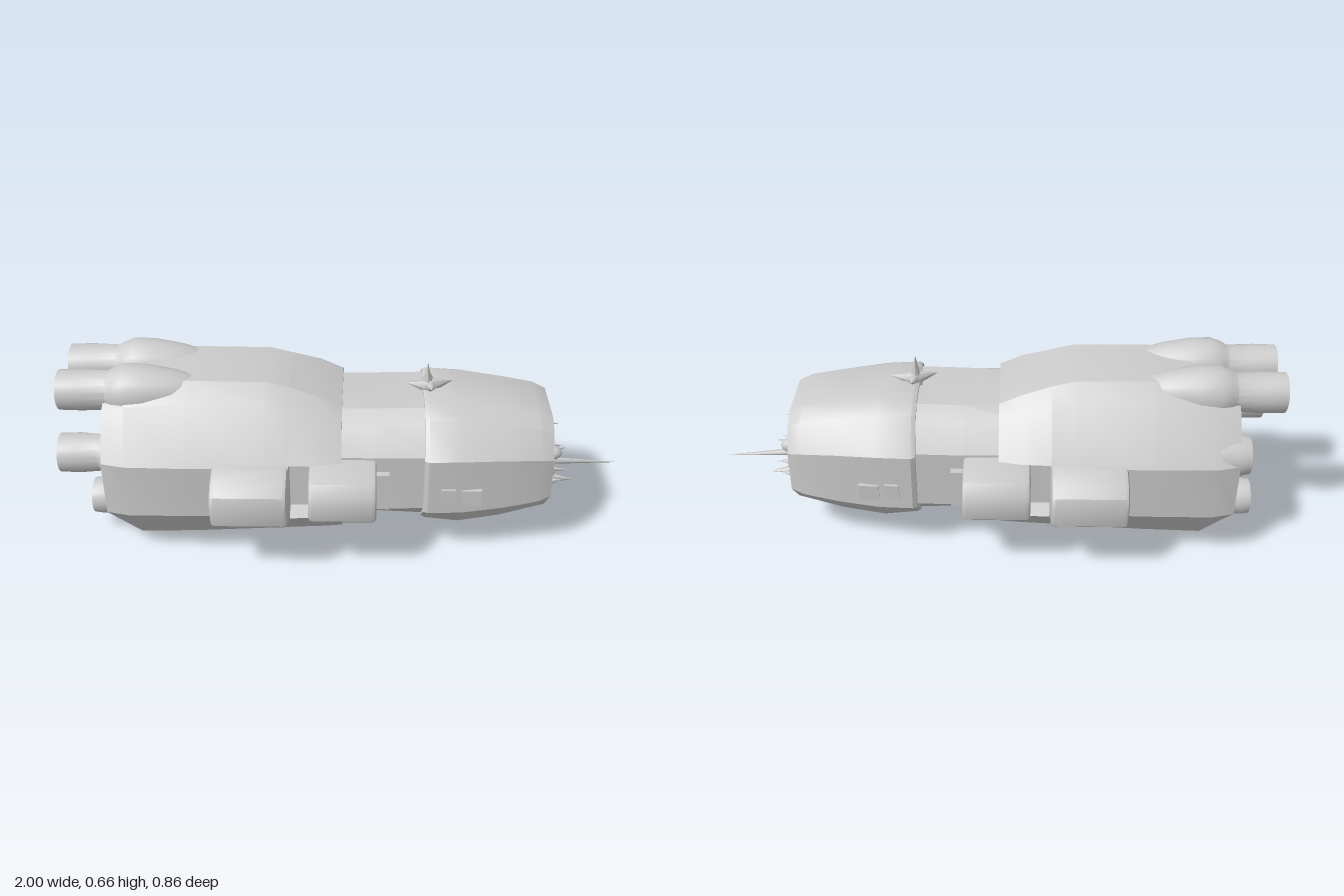
import * as THREE from 'three';
import { toCreasedNormals } from 'three/addons/utils/BufferGeometryUtils.js';

const grey = new THREE.MeshStandardMaterial({ color: 0xcccccc, side: THREE.DoubleSide });

function part(parent, name, geo, x = 0, y = 0, z = 0) {
  const m = new THREE.Mesh(geo, grey);
  m.name = name;
  m.position.set(x, y, z);
  parent.add(m);
  return m;
}

// Loft along x. Each section is [x, [z, y], [z, y] ...], the +z half listed from top to bottom.
function loft(sections, crease = 0.5) {
  const pos = [], idx = [];
  const n = (sections[0].length - 1) * 2;
  for (const [x, ...half] of sections) {
    const ring = [...half, ...half.map(([z, y]) => [-z, y]).reverse()];
    for (const [z, y] of ring) pos.push(x, y, z);
  }
  const last = sections.length - 1;
  for (let s = 0; s < last; s++) for (let i = 0; i < n; i++) {
    const a = s * n + i, b = s * n + (i + 1) % n;
    idx.push(a, b, b + n, a, b + n, a + n);
  }
  // end caps fan out from a centre point
  for (const s of [0, last]) {
    const c = pos.length / 3;
    pos.push(sections[s][0], 0.3, 0);
    for (let i = 0; i < n; i++) {
      const a = s * n + i, b = s * n + (i + 1) % n;
      idx.push(c, s ? a : b, s ? b : a);
    }
  }
  const g = new THREE.BufferGeometry();
  g.setAttribute('position', new THREE.Float32BufferAttribute(pos, 3));
  g.setIndex(idx);
  return toCreasedNormals(g, crease);
}

// The same section scaled about the hull axis and moved to another x
const inset = ([, ...half], x, k) => [x, ...half.map(([z, y]) => [z * k, 0.3 + (y - 0.3) * k])];

// Hollow nozzle along -x from profile points [radius, x]
function nozzle(points) {
  const g = new THREE.LatheGeometry(points.map(([r, x]) => new THREE.Vector2(r, -x)), 18);
  return toCreasedNormals(g.rotateZ(Math.PI / 2), 0.6);
}

// Tapering spike between two points
function spike(parent, name, from, to, r) {
  const a = new THREE.Vector3(...from), d = new THREE.Vector3(...to).sub(a);
  const g = new THREE.ConeGeometry(r, d.length(), 6).translate(0, d.length() / 2, 0);
  const m = part(parent, name, g, ...from);
  m.quaternion.setFromUnitVectors(new THREE.Vector3(0, 1, 0), d.normalize());
}

// Uneven lumps: push vertices out by a smooth wave of their position
function lumpy(g, amount) {
  const p = g.attributes.position, v = new THREE.Vector3();
  for (let i = 0; i < p.count; i++) {
    v.fromBufferAttribute(p, i);
    const w = Math.sin(v.y * 47 + 1) * Math.sin(v.z * 38 + 0.6) + 0.5 * Math.sin(v.y * 83 + v.z * 61);
    p.setX(i, v.x + w * amount);
  }
  g.computeVertexNormals();
  return g;
}

export function createModel() {
  const ship = new THREE.Group();
  ship.name = 'spaceship';

  // Rear hull with a sunken stern
  const stern = [-0.84, [0.1, 0.6], [0.19, 0.55], [0.29, 0.4], [0.29, 0.2], [0.14, 0.06]];
  part(ship, 'rearHull', loft([
    inset(stern, -0.72, 0.8), inset(stern, -0.83, 0.88), stern,
    [-0.76, [0.11, 0.625], [0.2, 0.57], [0.31, 0.4], [0.31, 0.2], [0.15, 0.012]],
    [-0.55, [0.13, 0.638], [0.2, 0.59], [0.315, 0.4], [0.31, 0.2], [0.14, 0.01]],
    [-0.28, [0.13, 0.635], [0.2, 0.58], [0.31, 0.4], [0.305, 0.2], [0.14, 0.025]],
    [-0.2, [0.13, 0.615], [0.2, 0.565], [0.31, 0.4], [0.305, 0.2], [0.14, 0.03]],
  ]));

  // Hull shoulder, cut back along its sides
  part(ship, 'hullShoulder', loft([
    [-0.2, [0.13, 0.615], [0.2, 0.565], [0.31, 0.41], [0.25, 0.388], [0.25, 0.21], [0.305, 0.19], [0.14, 0.03]],
    [-0.1, [0.14, 0.585], [0.2, 0.54], [0.305, 0.41], [0.25, 0.388], [0.25, 0.21], [0.3, 0.19], [0.14, 0.035]],
    [-0.02, [0.14, 0.548], [0.19, 0.52], [0.29, 0.41], [0.25, 0.384], [0.25, 0.21], [0.29, 0.19], [0.14, 0.042]],
  ]));

  part(ship, 'middleHull', loft([
    [-0.15, [0.13, 0.53], [0.19, 0.5], [0.25, 0.41], [0.25, 0.2], [0.14, 0.11]],
    [0.1, [0.13, 0.535], [0.19, 0.5], [0.255, 0.41], [0.255, 0.2], [0.14, 0.11]],
    [0.3, [0.13, 0.54], [0.19, 0.505], [0.25, 0.41], [0.25, 0.2], [0.14, 0.1]],
  ]));

  // Tapering front hull with an open, recessed nose
  const nose = [0.715, [0.1, 0.492], [0.16, 0.465], [0.215, 0.38], [0.215, 0.23], [0.12, 0.13]];
  part(ship, 'frontHull', loft([
    [0.265, [0.13, 0.55], [0.185, 0.52], [0.272, 0.41], [0.272, 0.2], [0.14, 0.09]],
    [0.28, [0.13, 0.557], [0.19, 0.525], [0.28, 0.41], [0.28, 0.2], [0.14, 0.08]],
    [0.4, [0.12, 0.552], [0.185, 0.52], [0.275, 0.41], [0.275, 0.2], [0.14, 0.066]],
    [0.55, [0.115, 0.533], [0.175, 0.5], [0.25, 0.4], [0.25, 0.205], [0.135, 0.09]],
    [0.67, [0.11, 0.512], [0.17, 0.48], [0.232, 0.39], [0.232, 0.22], [0.125, 0.12]],
    nose, inset(nose, 0.705, 0.93), inset(nose, 0.64, 0.88),
  ]));

  // Rough machinery filling the nose
  const face = new THREE.SphereGeometry(1, 40, 28).scale(0.08, 0.16, 0.19);
  part(ship, 'noseFace', lumpy(face, 0.014), 0.645, 0.3, 0);
  for (const s of [1, -1]) {
    part(ship, 'noseLump', new THREE.IcosahedronGeometry(0.026, 1).scale(1.3, 1, 1), 0.73, 0.34, s * 0.1);
    part(ship, 'noseLump', new THREE.IcosahedronGeometry(0.03, 1), 0.7, 0.31, s * 0.17);
    spike(ship, 'noseSpike', [0.69, 0.24, s * 0.1], [0.81, 0.235, s * 0.115], 0.024);
    spike(ship, 'noseSpike', [0.69, 0.23, s * 0.13], [0.77, 0.245, s * 0.13], 0.02);
    spike(ship, 'noseSpike', [0.69, 0.24, s * 0.05], [0.8, 0.24, s * 0.06], 0.018);
    spike(ship, 'noseSpike', [0.68, 0.34, s * 0.09], [0.78, 0.352, s * 0.085], 0.02);
  }
  spike(ship, 'longProbe', [0.69, 0.245, 0.003], [1, 0.23, -0.01], 0.016);

  // Tapered pods on both sides
  for (const s of [1, -1]) {
    for (const [x0, x1, out, low, high] of [[-0.46, -0.2, 0.43, 0.18, 0.407], [-0.13, 0.1, 0.412, 0.19, 0.402]]) {
      const mid = (x0 + x1) / 2, w = (x1 - x0) / 2;
      const shape = new THREE.Shape([[0.2, high], [0.31, high], [0.375, high - 0.02], [out - 0.012, high - 0.055],
        [out, high - 0.1], [out - 0.01, low + 0.06], [out - 0.04, low + 0.035], [0.3, low + 0.005], [0.2, low]]
        .map(([z, y]) => new THREE.Vector2(z, y)));
      const g = new THREE.ExtrudeGeometry(shape, {
        depth: 2 * w - 0.03, bevelEnabled: true, bevelThickness: 0.015, bevelSize: 0.012, bevelOffset: -0.012, bevelSegments: 2,
      });
      g.translate(0, 0, -w + 0.015).rotateY(-Math.PI / 2 * s);
      if (s < 0) g.rotateY(0);
      part(ship, 'sidePod', toCreasedNormals(g, 0.6), mid, 0, 0);
    }
    // Small plates beside the pods and on the front hull
    part(ship, 'sidePlate', new THREE.BoxGeometry(0.05, 0.14, 0.05), 0.12, 0.285, s * 0.255);
    part(ship, 'sideVent', new THREE.BoxGeometry(0.07, 0.06, 0.02), 0.43, 0.265, s * 0.272);
    part(ship, 'ventRib', new THREE.BoxGeometry(0.05, 0.05, 0.02), 0.35, 0.275, s * 0.277);
  }

  // Engines: upper pair in nacelles, middle one with a broken partner, lower pair
  for (const s of [1, -1]) {
    part(ship, 'upperEngine', nozzle([[0, -0.45], [0.045, -0.5], [0.075, -0.6], [0.092, -0.7], [0.094, -0.77], [0.08, -0.81],
      [0.068, -0.83], [0.072, -0.92], [0.07, -1], [0.062, -1], [0.055, -0.86], [0, -0.86]]), 0, 0.582, s * 0.098);
    part(ship, 'lowerEngine', nozzle([[0.07, -0.68], [0.075, -0.81], [0.062, -0.83], [0.068, -0.9], [0.064, -0.93],
      [0.057, -0.93], [0.05, -0.82], [0, -0.82]]), 0, 0.137, s * 0.095);
  }
  part(ship, 'middleEngine', nozzle([[0.075, -0.7], [0.08, -0.83], [0.064, -0.86], [0.07, -0.93], [0.068, -1],
    [0.06, -1], [0.052, -0.86], [0, -0.86]]), 0, 0.38, 0.185);
  part(ship, 'brokenEngine', nozzle([[0.08, -0.7], [0.078, -0.83], [0.066, -0.88], [0.055, -0.87], [0.05, -0.78], [0, -0.78]]),
    0, 0.4, -0.215);
  // Ragged stern debris
  for (let i = 0; i < 5; i++)
    spike(ship, 'sternShard', [-0.72, 0.22 + i * 0.065, 0.09 * Math.sin(i * 2.4)],
      [-0.87 + 0.03 * Math.cos(i * 3), 0.24 + i * 0.062, 0.12 * Math.sin(i * 2.1)], 0.035);

  // Star-shaped antenna on top
  spike(ship, 'antennaMast', [0.28, 0.54, 0.01], [0.278, 0.65, 0.01], 0.028);
  for (const [x, z] of [[0.37, 0.0], [0.2, 0.02], [0.29, 0.075], [0.29, -0.06]])
    spike(ship, 'antennaArm', [0.285, 0.56, 0.01], [x, 0.578, z], 0.028);

  return ship;
}
